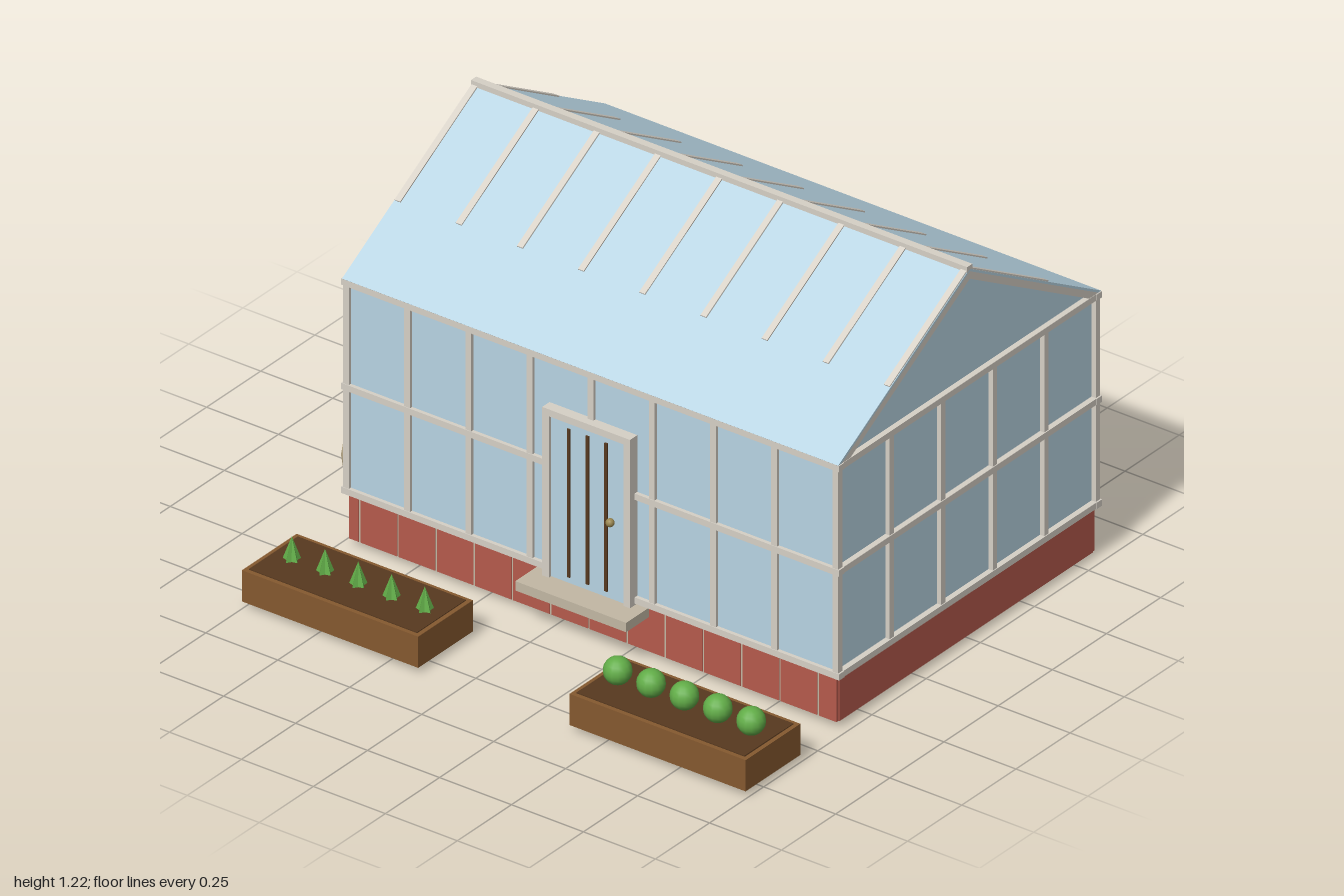
import * as THREE from 'three';

const mat = (name, color) => {
  const m = new THREE.MeshStandardMaterial({ color });
  m.name = name;
  return m;
};

export function createModel() {
  const glass = mat('glass', 0xb8d4e3), frame = mat('frame', 0xd6d0c6), brick = mat('brick', 0xb55a4c),
    wood = mat('wood', 0x85592f), soil = mat('soil', 0x57391f), leaf = mat('leaf', 0x62ad48),
    blue = mat('blue', 0x2f97d4), burlap = mat('burlap', 0xcbbb98), stone = mat('stone', 0xc2b8a4),
    brass = mat('brass', 0x9a8750);
  const model = new THREE.Group();
  const group = (name) => {
    const g = new THREE.Group();
    g.name = name;
    model.add(g);
    return g;
  };
  const add = (parent, name, geometry, material, x = 0, y = 0, z = 0) => {
    const m = new THREE.Mesh(geometry, material);
    m.name = name;
    m.position.set(x, y, z);
    parent.add(m);
    return m;
  };
  // box given by its extents on each axis
  const box = (parent, name, material, x0, x1, y0, y1, z0, z1) =>
    add(parent, name, new THREE.BoxGeometry(x1 - x0, y1 - y0, z1 - z0), material,
      (x0 + x1) / 2, (y0 + y1) / 2, (z0 + z1) / 2);

  const X0 = -0.73, X1 = 0.97, Z0 = -0.82, Z1 = 0.37, MID = (Z0 + Z1) / 2;
  const EAVE = 0.85, RIDGE = 1.2;

  // brick plinth with shallow panels and pale joints along both long sides
  const base = group('brickBase');
  box(base, 'baseCore', brick, X0, X1, 0.02, 0.17, Z0 + 0.01, Z1 - 0.01);
  const joints = [X0];
  for (let i = 0; i < 13; i++) joints.push(-0.69 + 0.1327 * i);
  joints.push(X1);
  for (const [a, b] of [[Z0, Z0 + 0.011], [Z1 - 0.011, Z1]]) {
    for (let i = 0; i < joints.length - 1; i++) {
      box(base, 'brickPanel', brick, joints[i] + 0.003, joints[i + 1] - 0.003, 0.02, 0.17, a, b);
      if (i) box(base, 'mortarJoint', stone, joints[i] - 0.003, joints[i] + 0.003, 0.02, 0.17, a + 0.002, b - 0.002);
    }
  }

  // glazed body: gabled cross-section extruded along x
  const s = new THREE.Shape([[-Z1, 0.17], [-Z0, 0.17], [-Z0, EAVE - 0.005], [-MID, RIDGE - 0.01], [-Z1, EAVE - 0.005]]
    .map(([z, y]) => new THREE.Vector2(z, y)));
  const body = new THREE.ExtrudeGeometry(s, { depth: X1 - X0 - 0.01, bevelEnabled: false });
  body.rotateY(Math.PI / 2);
  add(model, 'glassWalls', body, glass, X0 + 0.005);

  // wall posts and rails
  const walls = group('wallFrame');
  const postX = Array.from({ length: 9 }, (_, i) => X0 + 0.2125 * i);
  const postZ = Array.from({ length: 6 }, (_, i) => Z0 + 0.238 * i);
  for (const x of postX) for (const z of [Z0, Z1])
    box(walls, 'post', frame, x - 0.01, x + 0.01, 0.17, EAVE, z - 0.01, z + 0.01);
  for (const z of postZ.slice(1, -1)) for (const x of [X0, X1])
    box(walls, 'gablePost', frame, x - 0.01, x + 0.01, 0.17, EAVE, z - 0.01, z + 0.01);
  for (const y of [0.175, 0.508, 0.843]) {
    for (const z of [Z0, Z1])
      box(walls, 'rail', frame, X0 - 0.015, X1 + 0.015, y - 0.01, y + 0.01, z - 0.012, z + 0.012);
    for (const x of [X0, X1])
      box(walls, 'gableRail', frame, x - 0.013, x + 0.013, y - 0.01, y + 0.01, Z0, Z1);
  }

  // roof slopes: local z runs down from the ridge
  const run = Z1 - MID + 0.01, drop = RIDGE - EAVE;
  const len = Math.hypot(run, drop);
  for (const side of [1, -1]) {
    const slope = group(side > 0 ? 'frontRoof' : 'backRoof');
    slope.position.set(0, RIDGE, MID);
    slope.rotation.order = 'YXZ';
    slope.rotation.set(Math.atan2(drop, run), side > 0 ? 0 : Math.PI, 0);
    const span = (name, m, x0, x1, ...rest) => side > 0
      ? box(slope, name, m, x0, x1, ...rest) : box(slope, name, m, -x1, -x0, ...rest);
    span('roofGlass', glass, X0 - 0.012, X1 + 0.012, -0.004, 0.004, 0, len);
    for (const x of postX) span('roofBar', frame, x - 0.01, x + 0.01, 0, 0.008, 0, 0.42);
    // sloping trim below each gable edge
    for (const x of [X0, X1]) span('gableRafter', frame, x - 0.012, x + 0.012, -0.024, -0.003, 0.005, len - 0.005);
  }
  box(model, 'ridge', frame, X0 - 0.012, X1 + 0.012, RIDGE - 0.015, RIDGE + 0.015, MID - 0.012, MID + 0.012);

  // door with frame, slim bars, knob and step
  const door = group('door');
  box(door, 'doorPanel', glass, -0.008, 0.252, 0.16, 0.68, Z1, 0.393);
  for (const x of [-0.03, 0.252]) box(door, 'doorJamb', frame, x, x + 0.023, 0.155, 0.7, Z1 - 0.01, 0.404);
  box(door, 'doorHeader', frame, -0.03, 0.275, 0.678, 0.7, Z1 - 0.01, 0.404);
  for (const x of [0.056, 0.121, 0.186]) box(door, 'doorBar', soil, x - 0.005, x + 0.005, 0.18, 0.655, 0.392, 0.398);
  add(door, 'doorKnob', new THREE.SphereGeometry(0.013, 12, 8), brass, 0.205, 0.41, 0.403);
  box(door, 'doorStep', stone, -0.07, 0.315, 0.13, 0.16, Z1 - 0.01, 0.475);

  // raised planters
  const planter = (name, x0) => {
    const g = group(name);
    box(g, 'planterBox', wood, x0, x0 + 0.612, 0.02, 0.12, 0.575, 0.828);
    box(g, 'planterSoil', soil, x0 + 0.014, x0 + 0.598, 0.116, 0.123, 0.589, 0.814);
    return g;
  };
  const seedlings = planter('rightPlanter', -0.754), shrubs = planter('leftPlanter', 0.384);

  // star-sided cones
  const cone = new THREE.ConeGeometry(0.028, 0.077, 10, 1).toNonIndexed();
  const p = cone.attributes.position;
  for (let i = 0; i < p.count; i++) {
    const step = Math.round(Math.atan2(p.getX(i), p.getZ(i)) / (Math.PI / 5));
    if (step % 2 !== 0) p.setXYZ(i, p.getX(i) * 0.6, p.getY(i), p.getZ(i) * 0.6);
  }
  cone.computeVertexNormals();
  for (let i = 0; i < 5; i++) {
    add(seedlings, 'coneSeedling', cone, leaf, -0.677 + 0.1155 * i, 0.158, 0.7);
    add(shrubs, 'roundShrub', new THREE.SphereGeometry(0.042, 14, 10), leaf, 0.455 + 0.116 * i, 0.161, 0.7);
  }

  // two sacks beside the gable
  for (const z of [0.08, -0.075])
    add(model, 'sack', new THREE.SphereGeometry(1, 10, 8), burlap, -0.885, 0.094, z).scale.set(0.076, 0.094, 0.06);

  // watering can
  const can = group('wateringCan');
  add(can, 'canBody', new THREE.CylinderGeometry(0.05, 0.05, 0.12, 16), blue, -0.885, 0.08, -0.385);
  const spout = add(can, 'spout', new THREE.CylinderGeometry(0.01, 0.01, 0.12, 8), blue, -0.946, 0.128, -0.385);
  spout.rotation.z = 0.93;

  return model;
}
